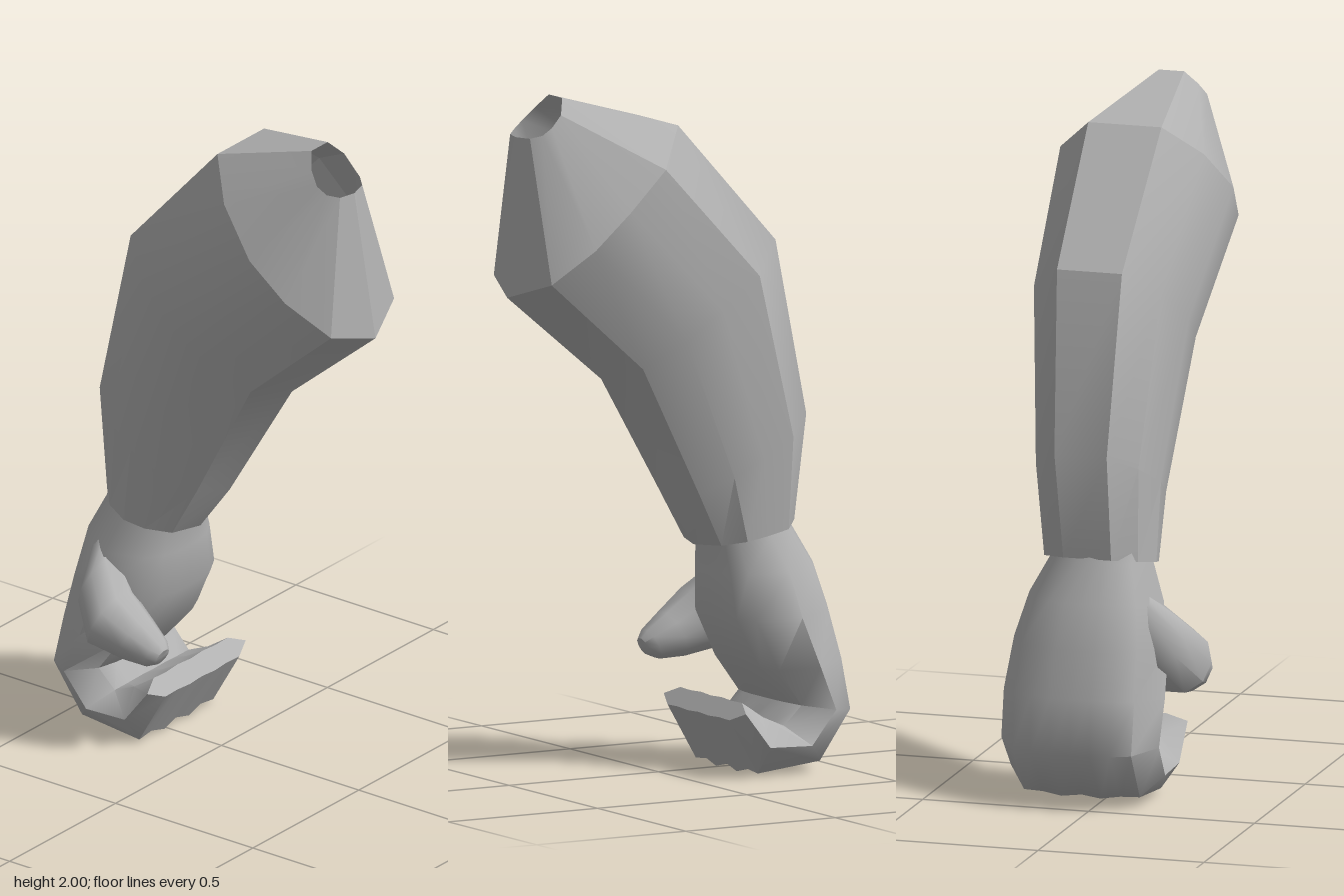
import * as THREE from 'three';
import { toCreasedNormals } from 'three/addons/utils/BufferGeometryUtils.js';

// Skin a list of closed rings of equal size; optionally close the last one
function loft(rings, capEnd, crease) {
  const n = rings[0].length, pos = [], idx = [];
  rings.forEach(r => r.forEach(p => pos.push(...p)));
  for (let i = 0; i < rings.length - 1; i++) {
    for (let j = 0; j < n; j++) {
      const a = i * n + j, b = i * n + (j + 1) % n;
      idx.push(a, b, b + n, a, b + n, a + n);
    }
  }
  if (capEnd) {
    const last = rings[rings.length - 1], start = (rings.length - 1) * n;
    pos.push(...[0, 1, 2].map(k => last.reduce((s, p) => s + p[k], 0) / n));
    for (let j = 0; j < n; j++) idx.push(start + j, start + (j + 1) % n, rings.length * n);
  }
  const g = new THREE.BufferGeometry();
  g.setAttribute('position', new THREE.Float32BufferAttribute(pos, 3));
  g.setIndex(idx);
  return toCreasedNormals(g, crease);
}

const mix = (a, b, t) => a + (b - a) * t;

// Sleeve: each ring runs from an outer point to an inner point, with front and back depth
function sleeveGeometry() {
  const section = [ // [position from outer to inner, depth from -1 back to 1 front]
    [0, 0.4], [0.2, 0.8], [0.46, 1], [0.69, 0.92], [0.91, 0.62], [1, 0],
    [0.89, -0.65], [0.68, -0.94], [0.46, -1], [0.22, -0.98], [0, -0.5]];
  const stations = [ // outer x, y, inner x, y, front z, back z
    [-0.39, 0.72, -0.10, 0.66, 0.13, -0.19],
    [-0.42, 1.03, 0.00, 0.80, 0.135, -0.215],
    [-0.30, 1.55, 0.22, 1.17, 0.17, -0.265],
    [0.03, 1.91, 0.53, 1.43, 0.205, -0.285],
    [0.35, 2.00, 0.48, 1.89, 0.08, -0.09]];
  const rings = stations.map(([ox, oy, ix, iy, zf, zb], k) => section.map(([t, w]) => {
    // The top opening dips quickly from its peak
    const ty = k === 4 ? 1 - (1 - t) ** 2 : t;
    return [mix(ox, ix, t), mix(oy, iy, ty), (zf + zb) / 2 + w * (zf - zb) / 2];
  }));
  return loft(rings, false, 0.42);
}

// Palm and curled fingers: one strip sweeping from the wrist to the fingertips
function handGeometry() {
  const stations = [ // outer x, y, inner x, y, front z, back z, boxiness, finger grooves
    [-0.375, 0.78, -0.12, 0.75, 0.115, -0.175, 2.2, 0],
    [-0.395, 0.71, -0.14, 0.68, 0.125, -0.185, 2.2, 0],
    [-0.45, 0.60, -0.145, 0.58, 0.165, -0.24, 2.4, 0],
    [-0.485, 0.47, -0.15, 0.45, 0.185, -0.28, 2.5, 0],
    [-0.51, 0.33, -0.23, 0.30, 0.19, -0.295, 2.8, 0],
    [-0.535, 0.17, -0.32, 0.20, 0.19, -0.285, 3, 0.01],
    [-0.42, 0.02, -0.28, 0.15, 0.185, -0.28, 4.5, 0.1],
    [-0.20, 0.0, -0.22, 0.18, 0.185, -0.28, 6, 0.16],
    [-0.105, 0.17, -0.15, 0.22, 0.185, -0.28, 8, 0.1]];
  const N = 8;
  const rings = stations.map(([ox, oy, ix, iy, zf, zb, p, groove]) => {
    const at = (j, side) => {
      const s = -1 + 2 * j / N;
      const h = (1 - Math.abs(s) ** p) ** 0.5 * (j % 2 ? 1 : 1 - groove);
      const t = 0.5 + side * 0.5 * h;
      return [mix(ox, ix, t), mix(oy, iy, t), mix(zf, zb, j / N)];
    };
    const ring = [];
    for (let j = 0; j <= N; j++) ring.push(at(j, -1));
    for (let j = N - 1; j > 0; j--) ring.push(at(j, 1));
    return ring;
  });
  return loft(rings, true, 1.0);
}

// Thumb: tapered rings bulging forward and pointing to the inner side
function thumbGeometry() {
  const stations = [ // x, y, z, radius
    [-0.37, 0.60, 0.06, 0.06],
    [-0.33, 0.49, 0.14, 0.095],
    [-0.25, 0.405, 0.195, 0.1],
    [-0.16, 0.365, 0.195, 0.075],
    [-0.09, 0.34, 0.195, 0.05],
    [-0.065, 0.335, 0.195, 0.028]];
  const dir = new THREE.Vector3(0.9, -0.43, 0).normalize();
  const u = new THREE.Vector3(0, 0, 1), v = dir.clone().cross(u);
  const rings = stations.map(([x, y, z, r]) => Array.from({ length: 10 }, (_, j) => {
    const a = j / 10 * Math.PI * 2;
    return new THREE.Vector3(x, y, z)
      .addScaledVector(u, r * Math.cos(a)).addScaledVector(v, r * Math.sin(a)).toArray();
  }));
  return loft(rings, true, 1.0);
}

export function createModel() {
  const grey = new THREE.MeshStandardMaterial({ color: 0xb2b2b2, side: THREE.DoubleSide });
  grey.name = 'grey';
  const model = new THREE.Group();
  model.name = 'arm';
  const parts = { sleeve: sleeveGeometry(), palmAndFingers: handGeometry(), thumb: thumbGeometry() };
  for (const [name, geometry] of Object.entries(parts)) {
    const mesh = new THREE.Mesh(geometry, grey);
    mesh.name = name;
    model.add(mesh);
  }
  return model;
}
